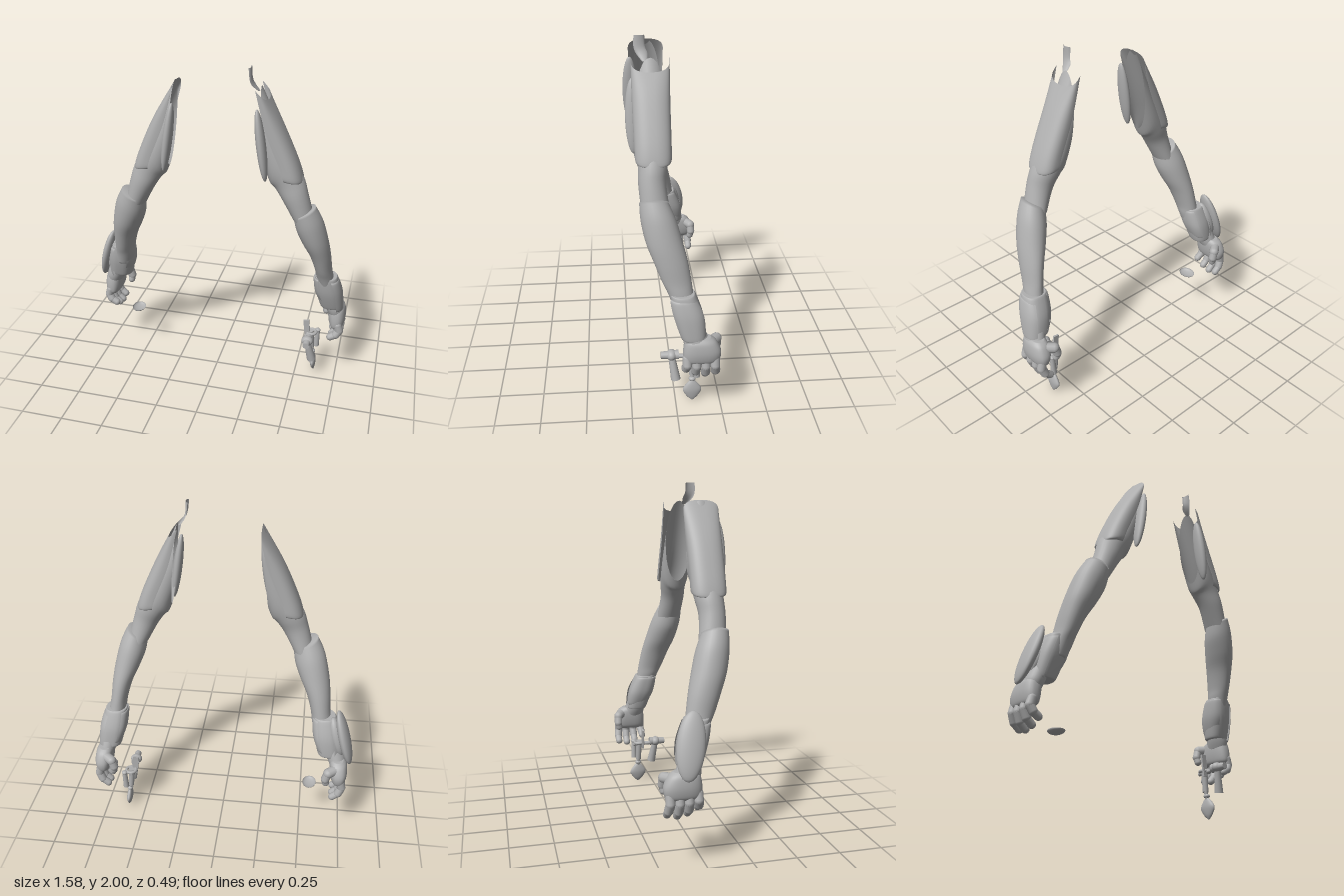
import * as THREE from 'three';

const grey = new THREE.MeshStandardMaterial({ color: 0xb0b0b0, side: THREE.DoubleSide });
grey.name = 'grey';

const mesh = (name, geo, parent) => {
  const m = new THREE.Mesh(geo, grey);
  m.name = name;
  parent.add(m);
  return m;
};
const group = (name, parent, x = 0, y = 0, z = 0) => {
  const g = new THREE.Group();
  g.name = name;
  g.position.set(x, y, z);
  parent.add(g);
  return g;
};
const v3 = (p) => new THREE.Vector3(...p);

// Smooth skin over tilted elliptical rings [cx, cy, cz, ux, uy, hz], top to bottom.
function loft(rings, { from = 0, to = Math.PI * 2, power = 1, caps = true, sub = 5, n = 28 } = {}) {
  const full = to - from > 6.28;
  const rows = [];
  const at = (i) => rings[Math.max(0, Math.min(rings.length - 1, i))];
  for (let i = 0; i < rings.length - 1; i++) {
    for (let s = 0; s < sub + (i === rings.length - 2 ? 1 : 0); s++) {
      const t = s / sub;
      const [a, b, c, d] = [at(i - 1), at(i), at(i + 1), at(i + 2)];
      rows.push(b.map((_, k) => b[k] + 0.5 * t * (c[k] - a[k] + t * (2 * a[k] - 5 * b[k] + 4 * c[k] - d[k]
        + t * (3 * (b[k] - c[k]) + d[k] - a[k])))));
    }
  }
  const cols = full ? n : n + 1, pos = [], idx = [];
  const bend = (v) => Math.sign(v) * Math.abs(v) ** power;
  rows.forEach(([x, y, z, ux, uy, hz]) => {
    for (let j = 0; j < cols; j++) {
      const a = from + (to - from) * j / n, c = bend(Math.cos(a)), s = bend(Math.sin(a));
      pos.push(x + c * ux, y + c * uy, z + s * hz);
    }
  });
  for (let i = 0; i < rows.length - 1; i++) {
    for (let j = 0; j < n; j++) {
      const k = (j + 1) % cols, p = i * cols, q = p + cols;
      idx.push(p + j, p + k, q + j, p + k, q + k, q + j);
    }
  }
  if (caps && full) {
    [0, rows.length - 1].forEach((r) => {
      const centre = pos.length / 3;
      pos.push(...rows[r].slice(0, 3));
      for (let j = 0; j < n; j++) {
        const a = r * cols + j, b = r * cols + (j + 1) % n;
        idx.push(...(r ? [centre, a, b] : [centre, b, a]));
      }
    });
  }
  const g = new THREE.BufferGeometry();
  g.setAttribute('position', new THREE.Float32BufferAttribute(pos, 3));
  g.setIndex(idx);
  g.computeVertexNormals();
  return g;
}

// Chain of rounded segments, used for fingers.
function chain(name, points, radii, parent) {
  const g = group(name, parent);
  for (let i = 0; i < points.length - 1; i++) {
    const a = v3(points[i]), b = v3(points[i + 1]), d = b.clone().sub(a);
    const m = mesh('joint', new THREE.CapsuleGeometry(radii[i], d.length() * 0.9, 5, 12), g);
    m.position.copy(a).lerp(b, 0.5);
    m.quaternion.setFromUnitVectors(v3([0, 1, 0]), d.normalize());
  }
}

// Tapered rod between two points.
function rod(name, a, b, ra, rb, parent) {
  const p = v3(a), q = v3(b), d = p.clone().sub(q);
  const m = mesh(name, new THREE.CylinderGeometry(ra, rb, d.length(), 14), parent);
  m.position.copy(p).lerp(q, 0.5);
  m.quaternion.setFromUnitVectors(v3([0, 1, 0]), d.normalize());
}

function ball(name, p, r, parent) {
  const m = mesh(name, new THREE.SphereGeometry(1, 24, 16), parent);
  m.position.set(...p);
  m.scale.set(...r);
  return m;
}

// Arm in +x coordinates; the offsets and widths vary by side.
function arm(name, o, parent) {
  const g = group(name, parent);

  // Upper arm with a long slanted opening towards the body
  const upper = group('upperArmGroup', g, o.upper);
  mesh('upperArm', loft([
    [0.288, 1.645, 0.107, -0.022, 0.245, 0.08],
    [0.365, 1.48, 0.107, 0.033, 0.13, 0.085],
    [0.43, 1.37, 0.107, 0.075, 0.04, 0.078],
    [0.472, 1.28, 0.113, 0.07, 0.02, 0.073],
    [0.522, 1.15, 0.1, 0.06, 0, 0.074],
  ], { caps: false }), upper);
  const arc = { from: -1.75, to: 1.75, power: 0.8 };
  mesh('upperArmPlate', loft([
    o.plateTop,
    [0.325, 1.67, 0.107, 0.058, 0.02, 0.099],
    [0.405, 1.48, 0.105, 0.066, 0.02, 0.097],
    [0.43, 1.405, 0.104, 0.078, -0.012, 0.095],
    [0.43, 1.39, 0.104, 0.068, -0.01, 0.084],
  ], arc), upper);
  ball('underarmFlap', [0.288, 1.59, 0.2], [0.026, 0.2, 0.042], upper).rotation.z = 0.14;

  // Forearm sleeve, higher on the outside of the elbow
  const w = o.wide;
  mesh('forearm', loft([
    [0.525, 1.2, 0.11, 0.058 * w, 0.035, 0.075],
    [0.555, 1.11, 0.088, 0.073 * w, 0.03, 0.092],
    [0.59, 1.0, 0.06, 0.072 * w, 0.01, 0.096],
    [0.62, 0.9, 0.028, 0.06 * w, 0, 0.089],
    [0.64, 0.8, 0, 0.05 * w, 0, 0.078],
    [0.65, 0.74, -0.018, 0.05 * w, 0, 0.068],
    [0.665, 0.66, -0.04, 0.045 * w, 0, 0.06],
  ]), group('forearmGroup', g, o.fore));

  // Gauntlet with raised outer and inner panels
  const gaunt = group('gauntlet', g, o.gaunt[0], o.gaunt[1]);
  const cuff = (k, top, bottom) => [
    [0.657, top, -0.03, 0.06 * k, 0, 0.06 * k],
    [0.659, top - 0.012, -0.033, 0.07 * k, 0, 0.07 * k],
    [0.675, 0.62, -0.06, 0.076 * k, 0, 0.08 * k],
    [0.694, bottom + 0.012, -0.084, 0.068 * k, 0, 0.066 * k],
    [0.696, bottom, -0.086, 0.058 * k, 0, 0.056 * k],
  ];
  mesh('gauntletCuff', loft(cuff(0.97, 0.735, 0.5), { power: 0.8 }), gaunt);
  mesh('gauntletOuterPanel', loft(cuff(1.09, 0.715, 0.49), { from: -1.1, to: 1.1, power: 0.8 }), gaunt);
  mesh('gauntletInnerPanel', loft(cuff(1.06, 0.725, 0.53), { from: 2.1, to: 4.2, power: 0.8 }), gaunt);

  // Hand: wrist, palm, four curled fingers and a thumb
  const hand = group('hand', g, o.hand[0], o.hand[1]);
  mesh('wrist', loft([
    [0.69, 0.57, -0.08, 0.05, 0, 0.055],
    [0.715, 0.49, -0.095, 0.055, 0, 0.068],
    [0.725, 0.44, -0.11, 0.045, 0, 0.07],
  ]), hand);
  mesh('palm', loft([
    [0.724, 0.5, -0.115, 0.035, 0, 0.06],
    [0.728, 0.475, -0.122, 0.05, 0, 0.085],
    [0.733, 0.42, -0.13, 0.053, 0, 0.102],
    [0.735, 0.37, -0.128, 0.044, 0, 0.098],
    [0.735, 0.35, -0.125, 0.028, 0, 0.08],
  ], { power: 0.8 }), hand);
  [0.042, 0.012, 0, 0.012].forEach((lift, i) => {
    const z = -0.05 - i * 0.05, k = z - (i - 1.5) * 0.004;
    chain('finger', [
      [0.745, 0.385, z], [0.757, 0.33 + lift * 0.3, z],
      [0.738, 0.282 + lift * 0.7, k], [0.704, 0.25 + lift, k],
    ], [0.026, 0.025, 0.022], hand);
  });
  chain('thumb', [[0.71, 0.455, -0.185], [0.668, 0.45, -0.215], [0.655, 0.405, -0.218], [0.66, 0.375, -0.212]],
    [0.03, 0.026, 0.022], hand);
  return g;
}

export function createModel() {
  const model = new THREE.Group();
  model.name = 'armouredArms';

  const left = arm('leftArm', {
    upper: 0, fore: 0, gaunt: [0, 0], hand: [0, 0], wide: 1,
    plateTop: [0.262, 1.875, 0.107, 0.048, -0.05, 0.1],
  }, model);
  const right = arm('rightArm', {
    upper: -0.062, fore: -0.055, gaunt: [-0.045, 0.045], hand: [-0.015, 0.035], wide: 1.18,
    plateTop: [0.265, 1.835, 0.107, -0.005, 0.055, 0.1],
  }, model);
  right.scale.x = -1;

  // Oval shield on the right gauntlet
  const shield = group('shield', right, 0.725, 0.665, -0.09);
  shield.rotation.set(0.12, 0.15, 0.27);
  ball('shieldFace', [0.012, 0, 0], [0.034, 0.18, 0.075], shield);
  ball('shieldMount', [-0.03, 0.01, 0], [0.04, 0.13, 0.055], shield);

  // Loose curved scale beside the right hand
  const scale = mesh('looseScale', new THREE.SphereGeometry(1, 20, 8, 0, Math.PI * 2, Math.PI / 2, Math.PI / 2), right);
  scale.position.set(0.55, 0.294, -0.08);
  scale.scale.set(0.042, 0.02, 0.055);
  scale.rotation.z = 0.06;

  // Loose strap above the left shoulder
  mesh('shoulderStrap', loft([
    [0.208, 1.995, 0.16, 0.016, 0.003, 0.028],
    [0.215, 1.94, 0.16, 0.012, 0, 0.03],
    [0.225, 1.905, 0.148, 0.014, 0, 0.03],
    [0.255, 1.87, 0.135, 0.008, 0, 0.014],
  ], { from: -1.4, to: 1.4, n: 8 }), left);

  // Hanging tool cluster near the left hand
  const tools = group('toolCluster', model);
  rod('frontHandle', [0.575, 0.28, 0.02], [0.605, 0.14, -0.002], 0.018, 0.027, tools);
  rod('frontHandleHead', [0.575, 0.285, 0.08], [0.575, 0.285, -0.02], 0.02, 0.027, tools);
  ball('frontHandleCollar', [0.575, 0.285, 0.02], [0.036, 0.03, 0.03], tools);
  rod('crossBar', [0.575, 0.275, -0.02], [0.58, 0.27, -0.13], 0.012, 0.012, tools);
  const clip = mesh('clip', new THREE.BoxGeometry(0.035, 0.13, 0.012), tools);
  clip.position.set(0.56, 0.31, -0.07);
  clip.rotation.z = 0.12;
  const ring = mesh('holderRing', new THREE.TorusGeometry(0.03, 0.01, 10, 20), tools);
  ring.position.set(0.585, 0.28, -0.09);
  ring.rotation.x = Math.PI / 2;
  rod('rearHandle', [0.58, 0.29, -0.09], [0.592, 0.16, -0.095], 0.02, 0.017, tools);
  rod('sideTube', [0.622, 0.275, -0.12], [0.618, 0.165, -0.12], 0.015, 0.018, tools);
  ball('sideTubeCap', [0.622, 0.28, -0.12], [0.018, 0.012, 0.018], tools);
  rod('bladeStem', [0.592, 0.17, -0.095], [0.604, 0.1, -0.095], 0.012, 0.01, tools);
  ball('bladeJoint', [0.6, 0.135, -0.095], [0.018, 0.014, 0.02], tools);

  // Spade-shaped blade, thin across x
  mesh('blade', loft([
    [0.602, 0.125, -0.095, 0.008, 0, 0.012],
    [0.604, 0.1, -0.095, 0.015, 0, 0.035],
    [0.606, 0.065, -0.095, 0.018, 0, 0.053],
    [0.609, 0.025, -0.095, 0.012, 0, 0.032],
    [0.612, 0, -0.095, 0.003, 0, 0.006],
  ]), tools);

  return model;
}
